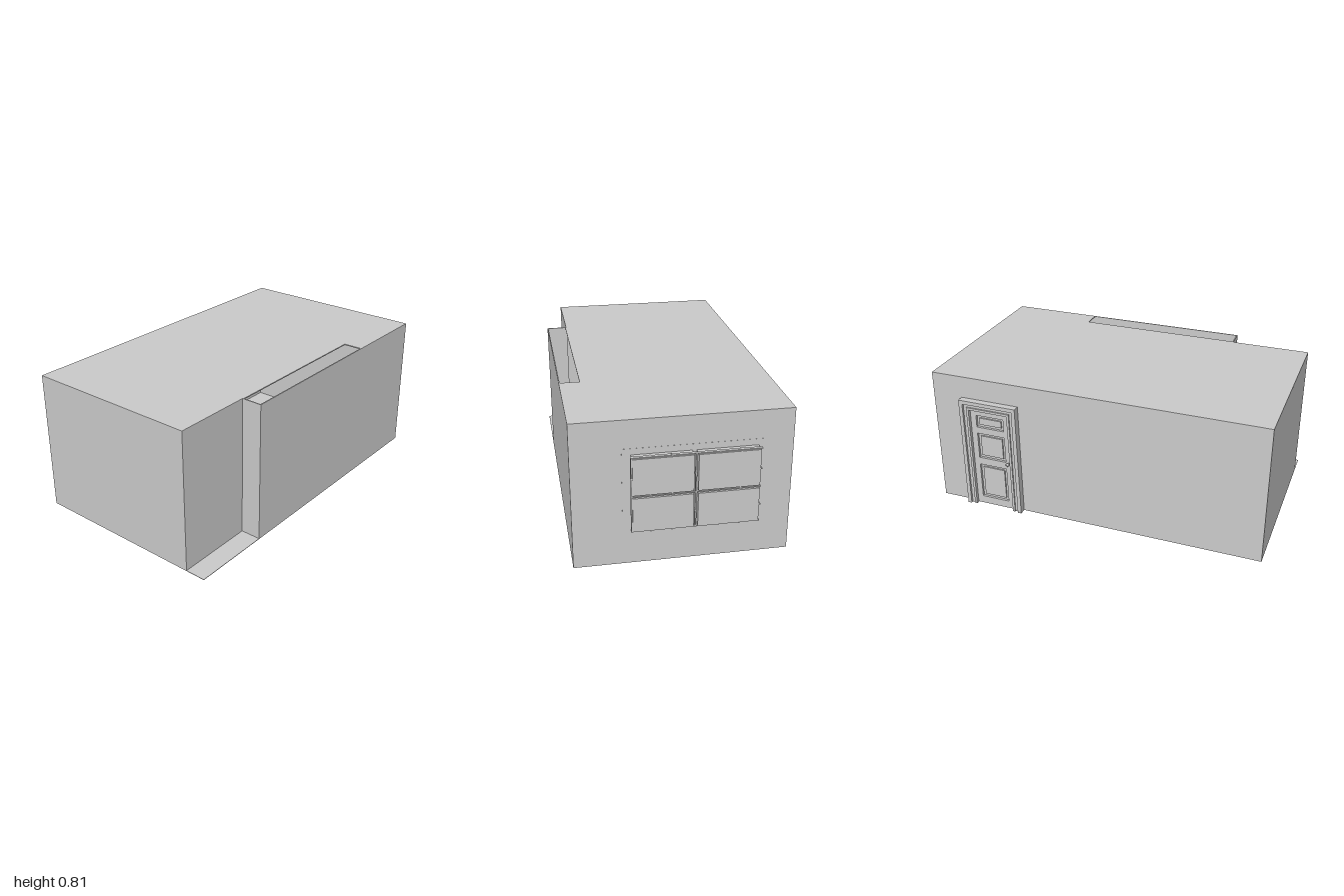
import * as THREE from 'three';

const mat = new THREE.MeshStandardMaterial({ color: 0xcccccc, flatShading: true, side: THREE.DoubleSide });
const smooth = new THREE.MeshStandardMaterial({ color: 0xcccccc });

// Box given by its minimum and maximum corners
function box(parent, name, [x0, y0, z0], [x1, y1, z1]) {
  const m = new THREE.Mesh(new THREE.BoxGeometry(x1 - x0, y1 - y0, z1 - z0), mat);
  m.position.set((x0 + x1) / 2, (y0 + y1) / 2, (z0 + z1) / 2);
  m.name = name;
  parent.add(m);
  return m;
}

const L = -1, R = 0.943, B = -0.548, F = 0.587, H = 0.81, T = 0.006;
const JX = -0.545, JZ = 0.47; // corner where the front wall steps back

function buildRoom() {
  const room = new THREE.Group();
  room.name = 'room';
  box(room, 'floor', [L, 0, B], [R, 0.003, F]);
  const top = H - T;
  box(room, 'backWall', [L, 0.003, B], [R, top, B + T]);
  box(room, 'rightEndWall', [L, 0.003, B + T], [L + T, top, JZ]);
  box(room, 'leftEndWall', [R - T, 0.003, B + T], [R, top, F - T]);
  box(room, 'frontWall', [JX, 0.003, F - T], [R, H, F]);
  box(room, 'stepWall', [JX, 0.003, JZ], [JX + T, H, F - T]);
  box(room, 'recessedWall', [L, 0.003, JZ - T], [JX + T, top, JZ]);

  // Roof with an open slot behind the front wall
  const outline = [[L, B], [R, B], [R, F - T], [0.41, F - T], [0.41, 0.475], [JX + T, 0.475], [JX + T, JZ], [L, JZ]];
  const shape = new THREE.Shape(outline.map(([x, z]) => new THREE.Vector2(x, -z)));
  const geo = new THREE.ExtrudeGeometry(shape, { depth: T, bevelEnabled: false });
  geo.rotateX(-Math.PI / 2);
  const roof = new THREE.Mesh(geo, mat);
  roof.position.y = H - T;
  roof.name = 'roof';
  room.add(roof);
  return room;
}

function buildWindow() {
  const win = new THREE.Group();
  win.name = 'window';
  // Flat surround, almost flush with the wall
  const s = new THREE.Shape();
  s.moveTo(-0.33, 0.185).lineTo(0.41, 0.185).lineTo(0.41, 0.655).lineTo(-0.33, 0.655).closePath();
  const g = new THREE.ExtrudeGeometry(s, { depth: 0.002, bevelEnabled: false });
  g.rotateY(Math.PI / 2);
  const surround = new THREE.Mesh(g, mat);
  surround.position.x = R - 0.001;
  surround.name = 'windowSurround';
  win.add(surround);

  // Four deep panes
  const cols = [[-0.025, 0.285], [-0.365, -0.047]];
  const rows = [[0.22, 0.405], [0.421, 0.621]];
  for (const [z0, z1] of cols)
    for (const [y0, y1] of rows)
      box(win, 'pane', [R, y0, z0], [0.999, y1, z1]);

  // Thin bars around and between the panes
  for (const y of [0.212, 0.409, 0.623])
    box(win, 'horizontalBar', [0.976, y, -0.372], [0.994, y + 0.005, 0.293]);
  for (const z of [-0.037, 0.288])
    box(win, 'verticalBar', [0.976, 0.212, z - 0.003], [0.994, 0.628, z + 0.004]);

  // Small clips along the pane edges
  for (const z of [0.193, 0.085, -0.155, -0.265])
    for (const y of [0.216, 0.413, 0.624])
      box(win, 'clip', [0.972, y - 0.007, z - 0.003], [0.996, y + 0.005, z + 0.003]);
  for (const y of [0.31, 0.513])
    for (const z of [0.288, -0.035, -0.367])
      box(win, 'clip', [0.972, y - 0.003, z - 0.006], [0.996, y + 0.003, z + 0.005]);
  return win;
}

function buildDoor() {
  const door = new THREE.Group();
  door.name = 'door';
  const cx = 0.59;

  // Nested arches form the stepped trim: half width, top, strip width, depth
  const steps = [[0.175, 0.682, 0.022, 0.039], [0.153, 0.66, 0.02, 0.026], [0.133, 0.64, 0.014, 0.034]];
  for (const [w, h, t, d] of steps) {
    const s = new THREE.Shape();
    s.moveTo(-w, 0).lineTo(-w, h).lineTo(w, h).lineTo(w, 0).lineTo(w - t, 0);
    s.lineTo(w - t, h - t).lineTo(t - w, h - t).lineTo(t - w, 0).closePath();
    const trim = new THREE.Mesh(new THREE.ExtrudeGeometry(s, { depth: d, bevelEnabled: false }), mat);
    trim.position.set(cx, 0, B - d);
    trim.name = 'doorTrim';
    door.add(trim);
  }

  // Leaf with three sunken panels
  const w = 0.119, top = 0.626;
  const leaf = new THREE.Shape();
  leaf.moveTo(-w, 0.003).lineTo(w, 0.003).lineTo(w, top).lineTo(-w, top).closePath();
  const panels = [[0.05, 0.27], [0.315, 0.475], [0.515, 0.59]];
  for (const [y0, y1] of panels) {
    const hole = new THREE.Path();
    hole.moveTo(-0.085, y0).lineTo(-0.085, y1).lineTo(0.085, y1).lineTo(0.085, y0).closePath();
    leaf.holes.push(hole);
    box(door, 'doorPanel', [cx - 0.068, y0 + 0.017, B - 0.009], [cx + 0.068, y1 - 0.017, B]);
  }
  const leafMesh = new THREE.Mesh(new THREE.ExtrudeGeometry(leaf, { depth: 0.014, bevelEnabled: false }), mat);
  leafMesh.position.set(cx, 0, B - 0.014);
  leafMesh.name = 'doorLeaf';
  door.add(leafMesh);

  // Round knob on a short stem
  const profile = [[0, 0], [0.005, 0], [0.005, 0.009], [0.01, 0.013], [0.01, 0.019], [0.006, 0.023], [0, 0.024]];
  const knob = new THREE.Mesh(new THREE.LatheGeometry(profile.map(p => new THREE.Vector2(...p)), 16), smooth);
  knob.rotation.x = -Math.PI / 2;
  knob.position.set(cx - 0.102, 0.31, B - 0.013);
  knob.name = 'doorKnob';
  door.add(knob);
  return door;
}

export function createModel() {
  const model = new THREE.Group();
  model.name = 'building';
  model.add(buildRoom(), buildWindow(), buildDoor());
  return model;
}
